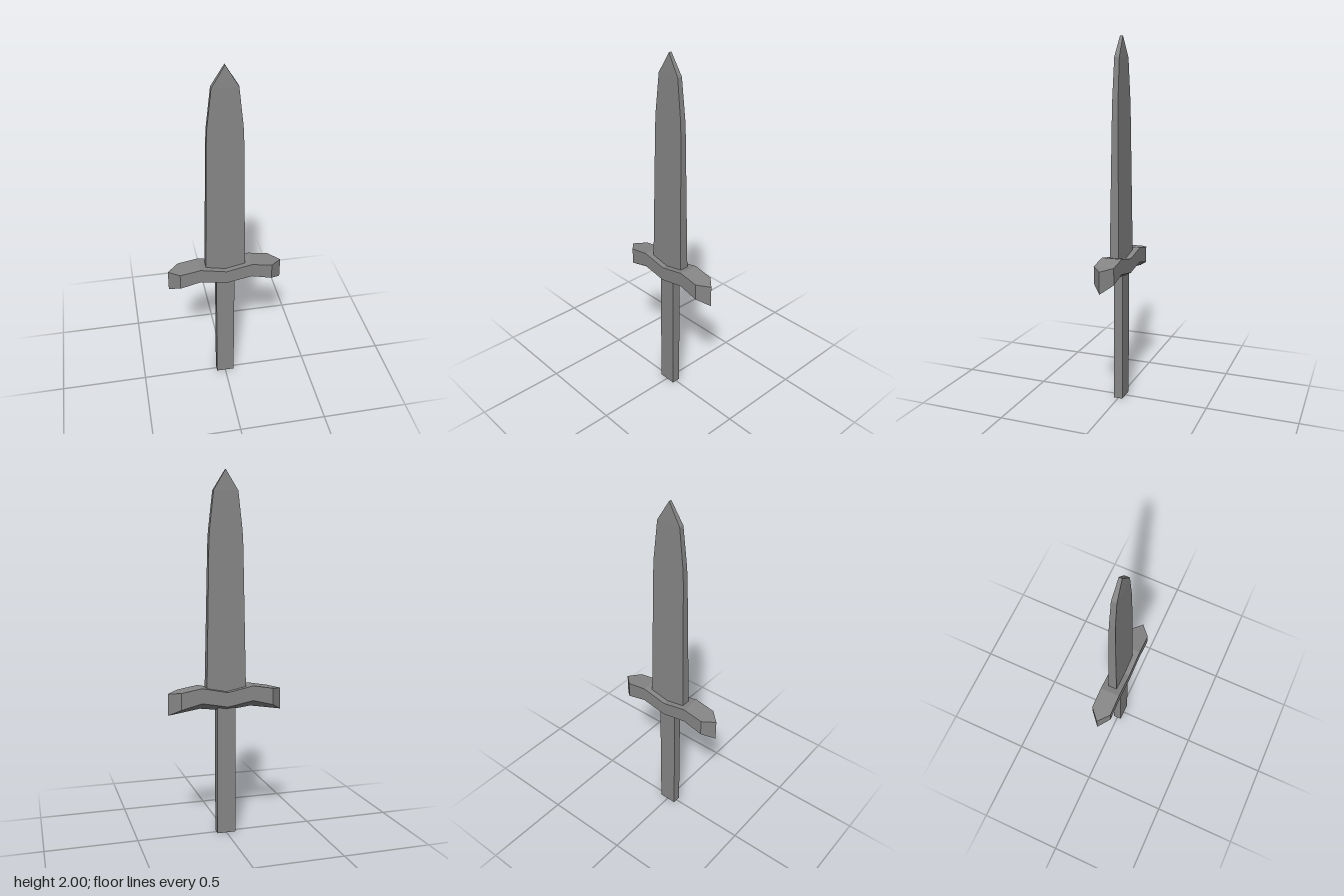
import * as THREE from 'three';

const steel = new THREE.MeshStandardMaterial({ color: 0x868686 });
steel.name = 'grey steel';

// Skins a row of matching cross-sections with flat faces, capping both ends.
function loft(rings) {
  const n = rings[0].length;
  const positions = [];
  const tri = (a, b, c) => positions.push(...a, ...b, ...c);
  for (let i = 0; i < rings.length - 1; i++) {
    for (let j = 0; j < n; j++) {
      const k = (j + 1) % n;
      tri(rings[i][j], rings[i][k], rings[i + 1][k]);
      tri(rings[i][j], rings[i + 1][k], rings[i + 1][j]);
    }
  }
  const first = rings[0], last = rings[rings.length - 1];
  for (let j = 1; j < n - 1; j++) {
    tri(first[0], first[j + 1], first[j]);
    tri(last[0], last[j], last[j + 1]);
  }
  const geometry = new THREE.BufferGeometry();
  geometry.setAttribute('position', new THREE.Float32BufferAttribute(positions, 3));
  geometry.computeVertexNormals();
  return geometry;
}

export function createModel() {
  const sword = new THREE.Group();
  sword.name = 'sword';
  const add = (name, geometry) => {
    const mesh = new THREE.Mesh(geometry, steel);
    mesh.name = name;
    sword.add(mesh);
    return mesh;
  };

  // Blade: height, half width, half thickness, narrowing to a chisel-like point
  const bladeSections = [
    [0.79, 0.112, 0.026],
    [1.6, 0.096, 0.017],
    [1.68, 0.092, 0.016],
    [1.89, 0.068, 0.014],
    [2.0, 0, 0.008],
  ];
  add('blade', loft(bladeSections.map(([y, w, d]) =>
    [[w, y, d], [w, y, -d], [-w, y, -d], [-w, y, d]])));

  // Guard: distance from centre, top, lower side edge, keel, half depth
  const half = [
    [0, 0.81, 0.73, 0.7, 0.056],
    [0.145, 0.84, 0.757, 0.718, 0.056],
    [0.26, 0.82, 0.728, 0.7, 0.056],
    [0.322, 0.81, 0.69, 0.69, 0],
  ];
  const mirrored = half.slice(1).reverse().map(([x, ...rest]) => [-x, ...rest]);
  add('guard', loft([...mirrored, ...half].map(([x, top, side, keel, d]) =>
    [[x, top, d], [x, side, d], [x, keel, 0], [x, side, -d], [x, top, -d]])));

  // Grip: a plain rectangular bar running up into the guard
  add('grip', new THREE.BoxGeometry(0.104, 0.74, 0.05)).position.y = 0.37;

  return sword;
}
